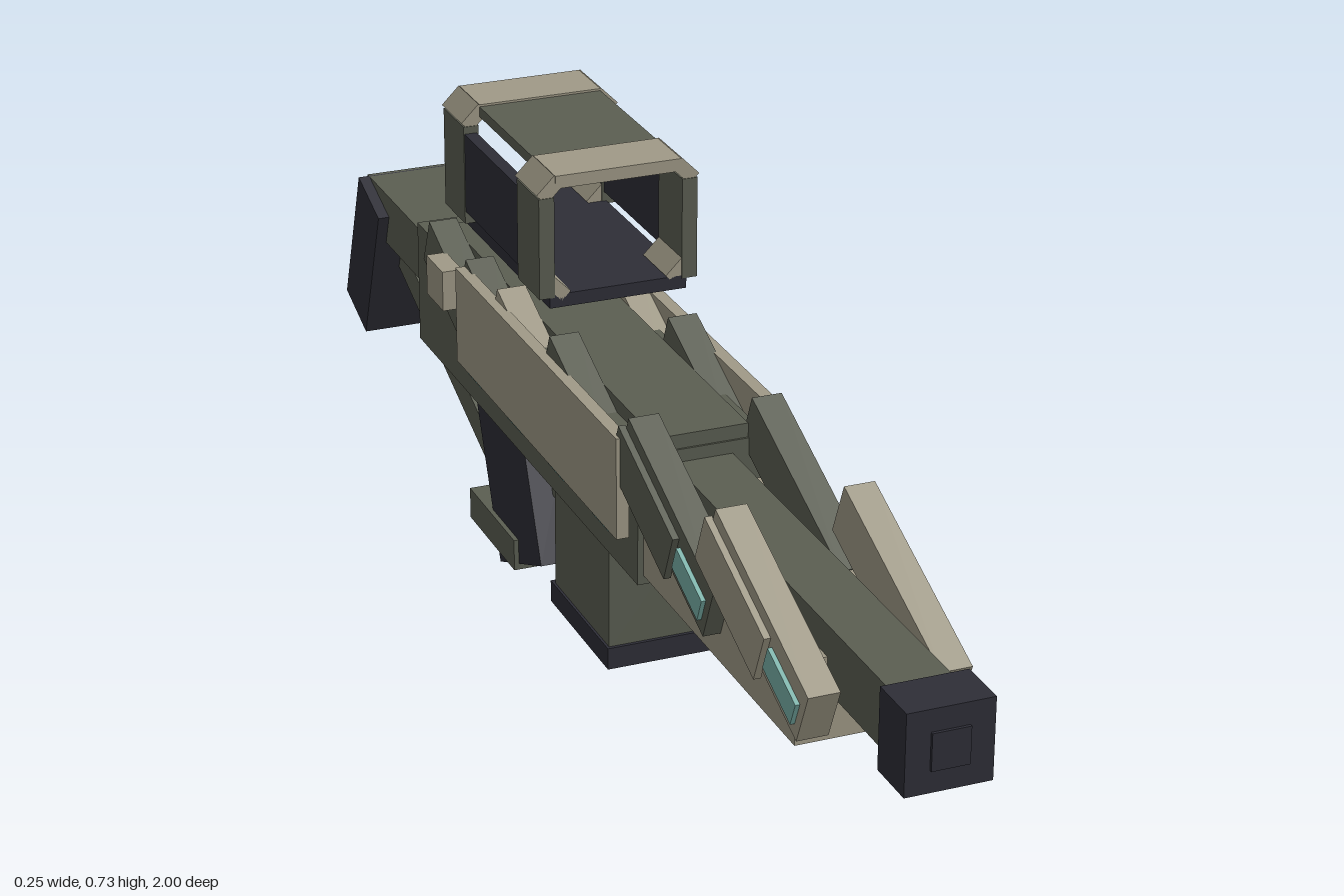
import * as THREE from 'three';

const material = (name, color) => {
  const m = new THREE.MeshStandardMaterial({ color });
  m.name = name;
  return m;
};

export function createModel() {
  const olive = material('olive', 0x5b5e52);
  const tan = material('tan', 0xa09a87);
  const dark = material('darkGrey', 0x2e2e37);
  const teal = material('teal', 0x7ab2a9);
  const model = new THREE.Group();
  model.name = 'rifle';

  // Box given by its centre and size, optionally tilted about x or z
  const box = (name, mat, [x, y, z], [w, h, d], tilt = 0, roll = 0) => {
    const mesh = new THREE.Mesh(new THREE.BoxGeometry(w, h, d), mat);
    mesh.name = name;
    mesh.position.set(x, y, z);
    mesh.rotation.set(tilt, 0, roll);
    model.add(mesh);
  };
  // Centred box given by its width and its y and z ranges
  const span = (name, mat, w, y0, y1, z0, z1) =>
    box(name, mat, [0, (y0 + y1) / 2, (z0 + z1) / 2], [w, y1 - y0, z1 - z0]);

  // Receiver, barrel and forend
  span('receiver', olive, 0.182, 0.264, 0.45, -0.61, 0.265);
  span('receiverTop', olive, 0.13, 0.44, 0.47, -0.54, 0.262);
  span('barrel', olive, 0.084, 0.345, 0.432, 0.2, 0.94);
  span('muzzle', dark, 0.114, 0.332, 0.442, 0.925, 0.996);
  span('muzzleBore', dark, 0.05, 0.362, 0.412, 0.99, 1);
  span('forend', tan, 0.166, 0.277, 0.39, 0.25, 0.75);

  // Magazine, grip and trigger guard
  span('magazine', olive, 0.145, 0.09, 0.28, -0.09, 0.115);
  span('magazineBase', dark, 0.152, 0.063, 0.095, -0.1, 0.12);
  span('triggerGuard', olive, 0.05, 0.163, 0.187, -0.27, -0.08);
  box('grip', dark, [0, 0.184, -0.335], [0.116, 0.32, 0.187], -0.4);
  span('gripFoot', olive, 0.13, 0.024, 0.072, -0.47, -0.28);

  // Stock
  span('stockTube', olive, 0.132, 0.328, 0.41, -0.925, -0.6);
  box('stockStrut', olive, [0, 0.222, -0.665], [0.08, 0.045, 0.46], 0.385);
  box('buttPad', dark, [0, 0.283, -0.91], [0.166, 0.235, 0.1], 0.35);

  // Sight: base, mount, roof and two octagonal hoops
  span('sightMount', olive, 0.05, 0.46, 0.545, -0.435, -0.3);
  span('sightBase', dark, 0.198, 0.541, 0.56, -0.412, -0.032);
  span('sightRoof', olive, 0.18, 0.712, 0.727, -0.335, -0.11);
  for (const z of [-0.073, -0.37]) {
    box('hoopTop', tan, [0, 0.721, z], [0.18, 0.018, 0.084]);
    for (const s of [1, -1]) {
      box('hoopSide', olive, [s * 0.103, 0.628, z], [0.022, 0.144, 0.084]);
      box('hoopTopCorner', tan, [s * 0.097, 0.711, z], [0.036, 0.02, 0.082], 0, -s * Math.PI / 4);
      box('hoopLowerCorner', tan, [s * 0.088, 0.569, z], [0.036, 0.018, 0.082], 0, s * Math.PI / 4);
    }
  }

  // Overlapping tilted scales along both flanks
  const slope = 0.4;
  const scales = [
    { mat: tan, y: 0.414, z: 0.682, h: 0.08, d: 0.305 },
    { mat: olive, y: 0.414, z: 0.397, h: 0.08, d: 0.305 },
    { mat: olive, y: 0.435, z: 0.085, h: 0.06, d: 0.24 },
    { mat: tan, y: 0.427, z: -0.13, h: 0.06, d: 0.22 },
    { mat: olive, y: 0.425, z: -0.27, h: 0.06, d: 0.2 },
    { mat: olive, y: 0.418, z: -0.43, h: 0.075, d: 0.2 },
  ];
  for (const s of [1, -1]) {
    box('sightSide', dark, [s * 0.104, 0.632, -0.22], [0.018, 0.115, 0.225]);
    for (const f of scales) {
      box('scale', f.mat, [s * 0.086, f.y, f.z], [0.042, f.h, f.d], slope);
    }
    for (const f of scales.slice(0, 2)) {
      box('scalePlate', f.mat, [s * 0.111, f.y + 0.008, f.z - 0.06], [0.01, 0.075, 0.2], slope);
      box('scaleLight', teal, [s * 0.109, 0.373, f.z + 0.085], [0.008, 0.036, 0.09], slope);
    }
    // Side armour panel with lights under its lower edge
    box('sidePanel', tan, [s * 0.112, 0.408, -0.045], [0.018, 0.144, 0.62]);
    for (const z of [0.18, 0.015, -0.145, -0.31]) {
      box('panelLight', teal, [s * 0.107, 0.332, z], [0.006, 0.024, 0.06]);
    }
  }
  box('sideCatch', tan, [-0.117, 0.435, -0.415], [0.03, 0.06, 0.07]);

  model.position.x = 0.004;
  const root = new THREE.Group();
  root.name = 'model';
  root.add(model);
  return root;
}
